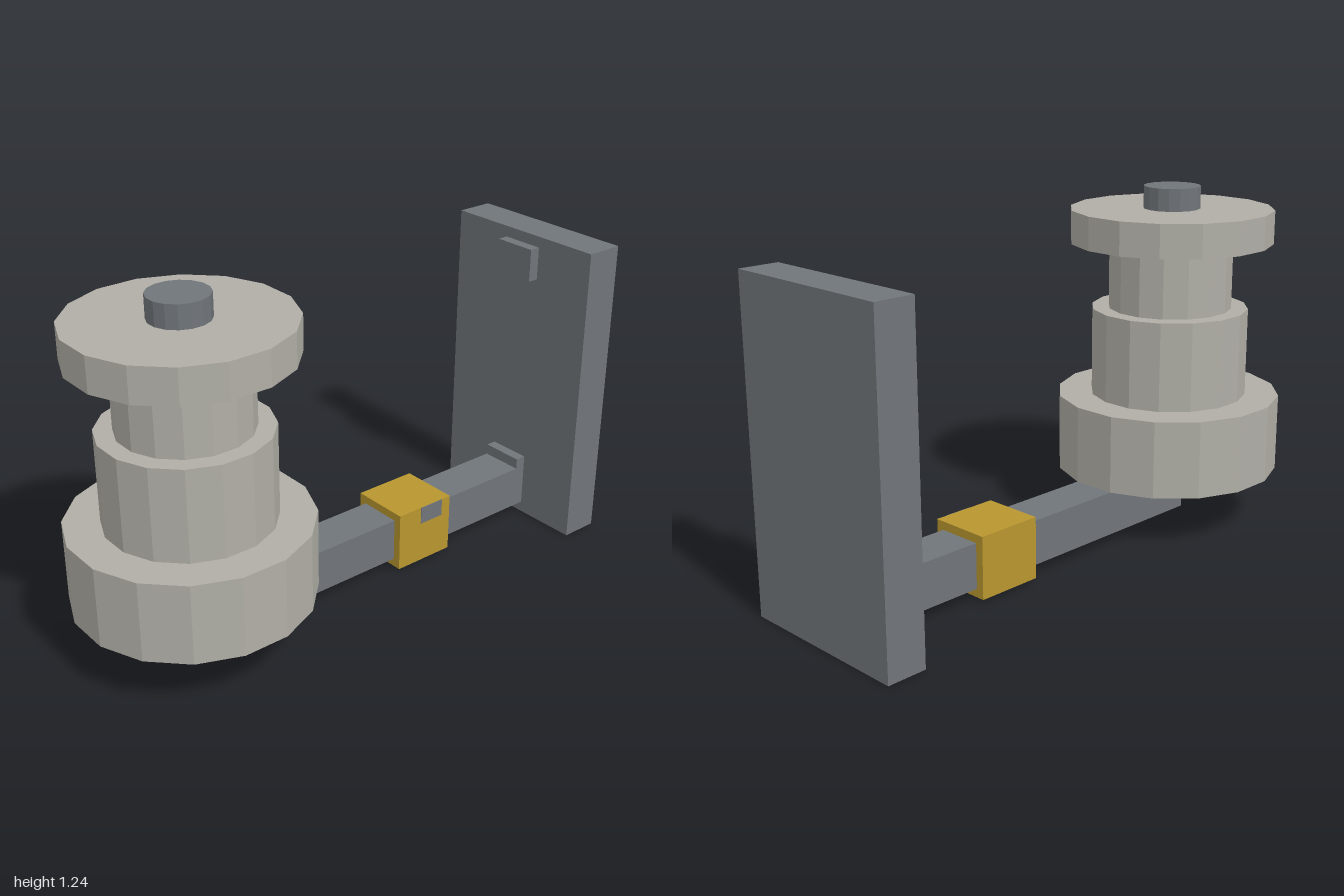
import * as THREE from 'three';

const SIDES = 16;

export function createModel() {
  const group = new THREE.Group();
  const material = (name, color) => {
    const m = new THREE.MeshStandardMaterial({ color, flatShading: true });
    m.name = name;
    return m;
  };
  const steel = material('steel grey', 0x70757a);
  const stone = material('warm grey', 0xb0aea6);
  const brass = material('brass', 0xb8962e);

  const add = (name, geometry, mat) => {
    const mesh = new THREE.Mesh(geometry, mat);
    mesh.name = name;
    group.add(mesh);
  };

  // Box given by its lower and upper limits on each axis
  const box = (name, mat, [x0, x1], [y0, y1], [z0, z1]) => {
    const g = new THREE.BoxGeometry(x1 - x0, y1 - y0, z1 - z0);
    g.translate((x0 + x1) / 2, (y0 + y1) / 2, (z0 + z1) / 2);
    add(name, g, mat);
  };

  // Sixteen-sided drum on the spindle axis, flats facing the main axes
  const drum = (name, mat, halfWidth, y0, y1) => {
    const r = halfWidth / Math.cos(Math.PI / SIDES);
    const g = new THREE.CylinderGeometry(r, r, y1 - y0, SIDES);
    g.rotateY(Math.PI / SIDES);
    g.translate(0, (y0 + y1) / 2, 0.6);
    add(name, g, mat);
  };

  // Stepped spool
  drum('spoolBase', stone, 0.4, 0.2, 0.48);
  drum('spoolBody', stone, 0.28, 0.48, 0.8);
  drum('spoolNeck', stone, 0.22, 0.8, 1.04);
  drum('spoolFlange', stone, 0.36, 1.04, 1.16);
  drum('spindleCap', steel, 0.1, 1.16, 1.24);

  // Arm with sliding collar and its side catch
  box('arm', steel, [-0.08, 0.08], [0.04, 0.2], [-0.86, 0.6]);
  box('collar', brass, [-0.11, 0.11], [0.01, 0.23], [-0.44, -0.2]);
  box('collarCatch', steel, [0.109, 0.112], [0.165, 0.23], [-0.4, -0.3]);

  // Back plate with two stop blocks
  box('backPlate', steel, [-0.32, 0.32], [0, 1.12], [-1, -0.86]);
  box('upperStop', steel, [-0.08, 0.08], [0.96, 1.08], [-0.86, -0.82]);
  box('lowerStop', steel, [-0.08, 0.08], [0.2, 0.24], [-0.86, -0.82]);

  return group;
}
